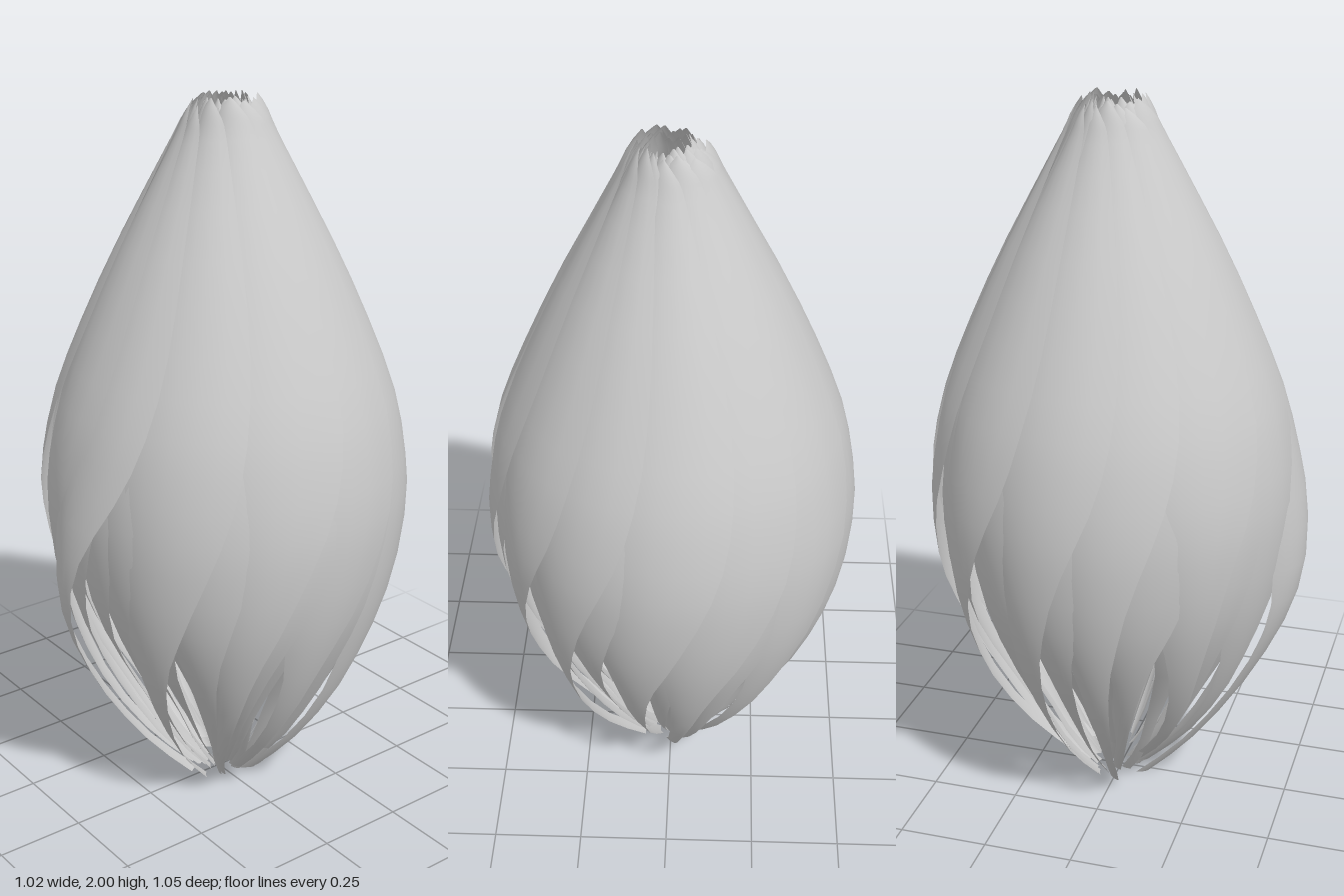
import * as THREE from 'three';

const RINGS = 4, PER_RING = 13, ROWS = 24, COLS = 8;
const AXIS_Z = -0.02;

// Petal profile from base to tip: x = radius, y = height, z = half width in radians
const profile = new THREE.CatmullRomCurve3([
  [0.095, 0.03, 0.12], [0.23, 0.17, 0.06], [0.35, 0.35, 0.075], [0.425, 0.53, 0.13],
  [0.465, 0.7, 0.26], [0.478, 0.88, 0.4], [0.467, 1.04, 0.5], [0.435, 1.2, 0.56],
  [0.368, 1.38, 0.6], [0.28, 1.58, 0.6], [0.18, 1.78, 0.55], [0.115, 1.91, 0.46],
  [0.1, 1.95, 0.36], [0.083, 1.99, 0.03],
].map(p => new THREE.Vector3(...p)));

// Small seeded generator for natural variation
function seeded(seed) {
  return () => {
    seed = (seed * 16807) % 2147483647;
    return seed / 2147483647;
  };
}

const bump = (y, centre, spread) => Math.exp(-(((y - centre) / spread) ** 2));

// One curved petal: thin twisted stalk, wide blade, pointed tip, right edge lying outermost
function petalGeometry({ angle, depth, drop, rise, swell, slim, lean }) {
  const pos = [], index = [], p = new THREE.Vector3();
  for (let i = 0; i <= ROWS; i++) {
    const t = i / ROWS;
    profile.getPoint(t, p);
    const low = Math.max(0, 1 - t * 2);
    const size = Math.sqrt(p.x / 0.48);
    const y = p.y + drop * low + rise * t ** 4;
    const inset = depth * (0.4 + 0.6 * size) * (1 + 1.3 * bump(p.y, 0.32, 0.22));
    const radius = p.x - inset + swell * bump(p.y, 0.68, 0.3);
    const width = p.z * (1 - slim * bump(p.y, 0.75, 0.3));
    const blade = size * Math.min(1, p.z / 0.45);
    for (let j = 0; j <= COLS; j++) {
      const s = (j / COLS) * 2 - 1;
      const r = radius + blade * (0.034 * s + 0.02 * (1 - s * s)) + 0.009 * s * low;
      const a = angle + s * width + lean * low * low;
      pos.push(r * Math.sin(a), y, r * Math.cos(a));
      if (i < ROWS && j < COLS) {
        const k = i * (COLS + 1) + j, n = k + COLS + 1;
        index.push(k, k + 1, n, k + 1, n + 1, n);
      }
    }
  }
  const g = new THREE.BufferGeometry();
  g.setAttribute('position', new THREE.Float32BufferAttribute(pos, 3));
  g.setIndex(index);
  g.computeVertexNormals();
  return g;
}

export function createModel() {
  const model = new THREE.Group();
  model.name = 'flowerBud';
  const material = new THREE.MeshStandardMaterial({ color: 0xcccccc, side: THREE.DoubleSide });
  const rand = seeded(77);
  const pitch = (Math.PI * 2) / PER_RING;

  // Nested rings of overlapping petals, each ring turned against the next
  for (let ring = 0; ring < RINGS; ring++) {
    const group = new THREE.Group();
    group.name = ['outerPetals', 'secondPetals', 'thirdPetals', 'innerPetals'][ring];
    group.position.z = AXIS_Z;
    for (let i = 0; i < PER_RING; i++) {
      const loose = ring === 0 && i === 0; // one front petal stands slightly away
      const petal = new THREE.Mesh(petalGeometry({
        angle: (i + ring * 0.38) * pitch + (rand() - 0.5) * 0.16 + 0.03,
        depth: ring * 0.016,
        drop: loose ? -0.03 : rand() * 0.06 - 0.025,
        rise: rand() * 0.03 - 0.02,
        swell: loose ? 0.05 : (rand() - 0.4) * 0.01,
        slim: loose ? 0.5 : rand() * 0.3,
        lean: (rand() - 0.5) * 0.7,
      }), material);
      petal.name = 'petal';
      group.add(petal);
    }
    model.add(group);
  }
  return model;
}
